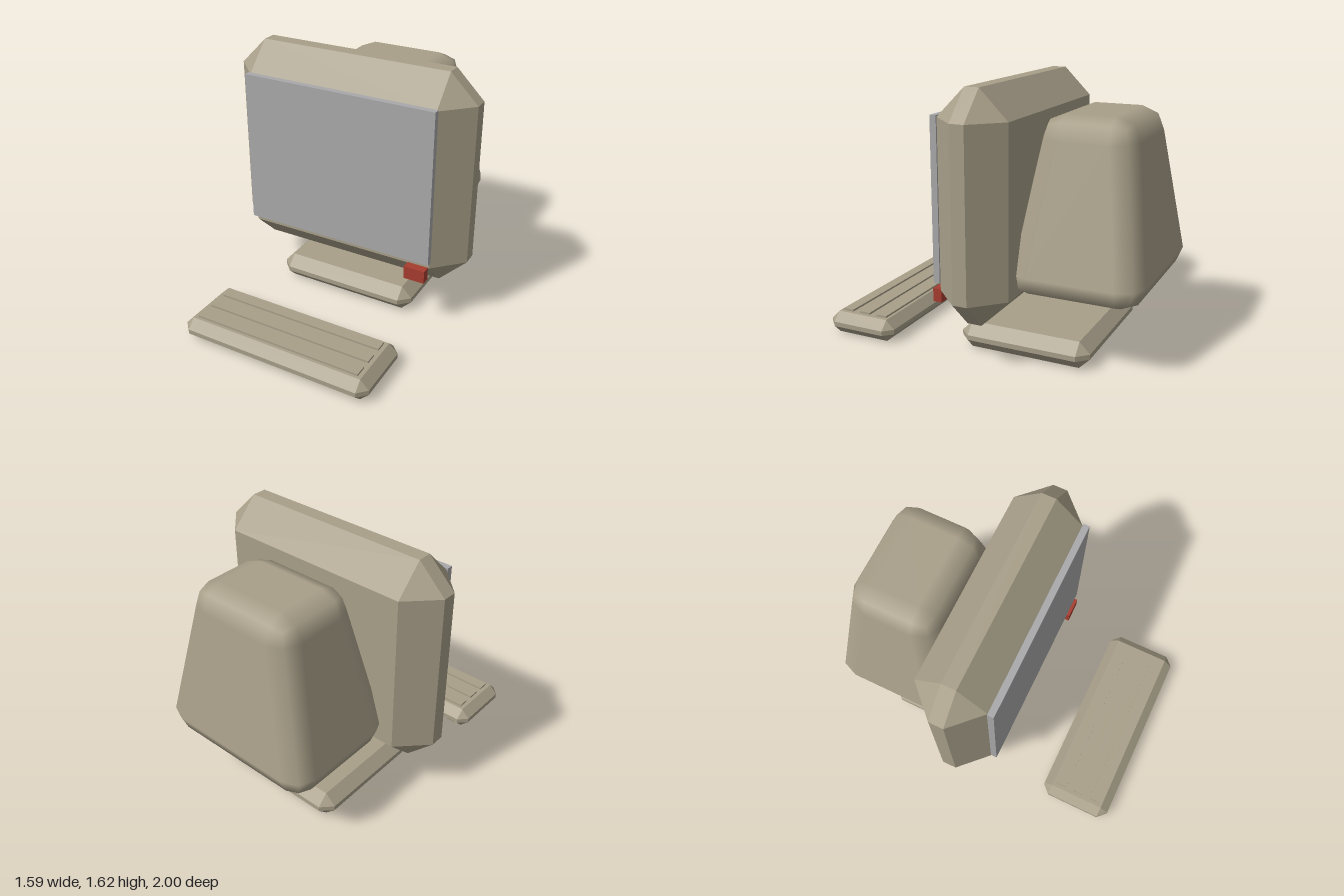
import * as THREE from 'three';
import { ConvexGeometry } from 'three/addons/geometries/ConvexGeometry.js';
import { RoundedBoxGeometry } from 'three/addons/geometries/RoundedBoxGeometry.js';

const material = (name, color) => {
  const m = new THREE.MeshStandardMaterial({ color });
  m.name = name;
  return m;
};

// Box whose edges are all cut at 45 degrees, with triangular corners
function chamferedBox(w, h, d, c) {
  const X = w / 2, Y = h / 2, Z = d / 2, points = [];
  for (const sx of [-1, 1]) for (const sy of [-1, 1]) for (const sz of [-1, 1]) {
    points.push(
      new THREE.Vector3(sx * X, sy * (Y - c), sz * (Z - c)),
      new THREE.Vector3(sx * (X - c), sy * Y, sz * (Z - c)),
      new THREE.Vector3(sx * (X - c), sy * (Y - c), sz * Z));
  }
  return new ConvexGeometry(points);
}

// Rounded box that narrows towards the top while its edge radius stays constant
function taperedRoundedBox(w, h, d, r, topScale) {
  const geometry = new RoundedBoxGeometry(w, h, d, 1, r);
  const pos = geometry.attributes.position, nor = geometry.attributes.normal;
  const coreX = w / 2 - r, coreY = h / 2 - r, coreZ = d / 2 - r;
  const slopeX = coreX * (1 - topScale) / (2 * coreY);
  const slopeZ = coreZ * (1 - topScale) / (2 * coreY);
  const n = new THREE.Vector3();
  for (let i = 0; i < pos.count; i++) {
    const x = pos.getX(i), y = pos.getY(i), z = pos.getZ(i);
    if (y > 0) {
      pos.setX(i, x - Math.sign(x) * coreX * (1 - topScale));
      pos.setZ(i, z - Math.sign(z) * coreZ * (1 - topScale));
    }
    // Tilt the normals of the sloping sides
    n.fromBufferAttribute(nor, i);
    n.y += Math.abs(n.x) * slopeX + Math.abs(n.z) * slopeZ;
    n.normalize();
    nor.setXYZ(i, n.x, n.y, n.z);
  }
  return geometry;
}

export function createModel() {
  const model = new THREE.Group();
  model.name = 'desktopComputer';
  const beige = material('beigePlastic', 0xa89f89);
  const grey = material('screenGrey', 0xa9a9ab);
  const red = material('buttonRed', 0xa63c2e);

  const add = (name, geometry, mat, x, y, z, parent = model) => {
    const mesh = new THREE.Mesh(geometry, mat);
    mesh.name = name;
    mesh.position.set(x, y, z);
    parent.add(mesh);
    return mesh;
  };

  // Monitor
  const monitor = new THREE.Group();
  monitor.name = 'monitor';
  model.add(monitor);
  add('monitorFrame', chamferedBox(1.59, 1.37, 0.44, 0.175), beige, 0, 0.935, -0.055, monitor);
  add('monitorBack', taperedRoundedBox(1.1, 1.045, 0.8, 0.14, 0.57), beige, 0, 0.9325, -0.6, monitor);
  add('screen', new THREE.BoxGeometry(1.26, 0.985, 0.04), grey, 0, 0.9625, 0.185, monitor);
  add('powerButton', new THREE.BoxGeometry(0.135, 0.083, 0.055), red, 0.547, 0.387, 0.1925, monitor);

  // Foot under the monitor
  add('base', chamferedBox(0.945, 0.165, 0.83, 0.067), beige, 0, 0.0825, -0.275);

  // Keyboard with three rows of keys
  const keyboard = new THREE.Group();
  keyboard.name = 'keyboard';
  model.add(keyboard);
  add('keyboardBody', chamferedBox(1.26, 0.14, 0.465, 0.055), beige, 0, 0.07, 0.7675, keyboard);
  for (let i = 0; i < 3; i++) {
    add('keyRow' + (i + 1), new THREE.BoxGeometry(1.1, 0.02, 0.072), beige, 0, 0.142, 0.644 + i * 0.1235, keyboard);
  }
  return model;
}
